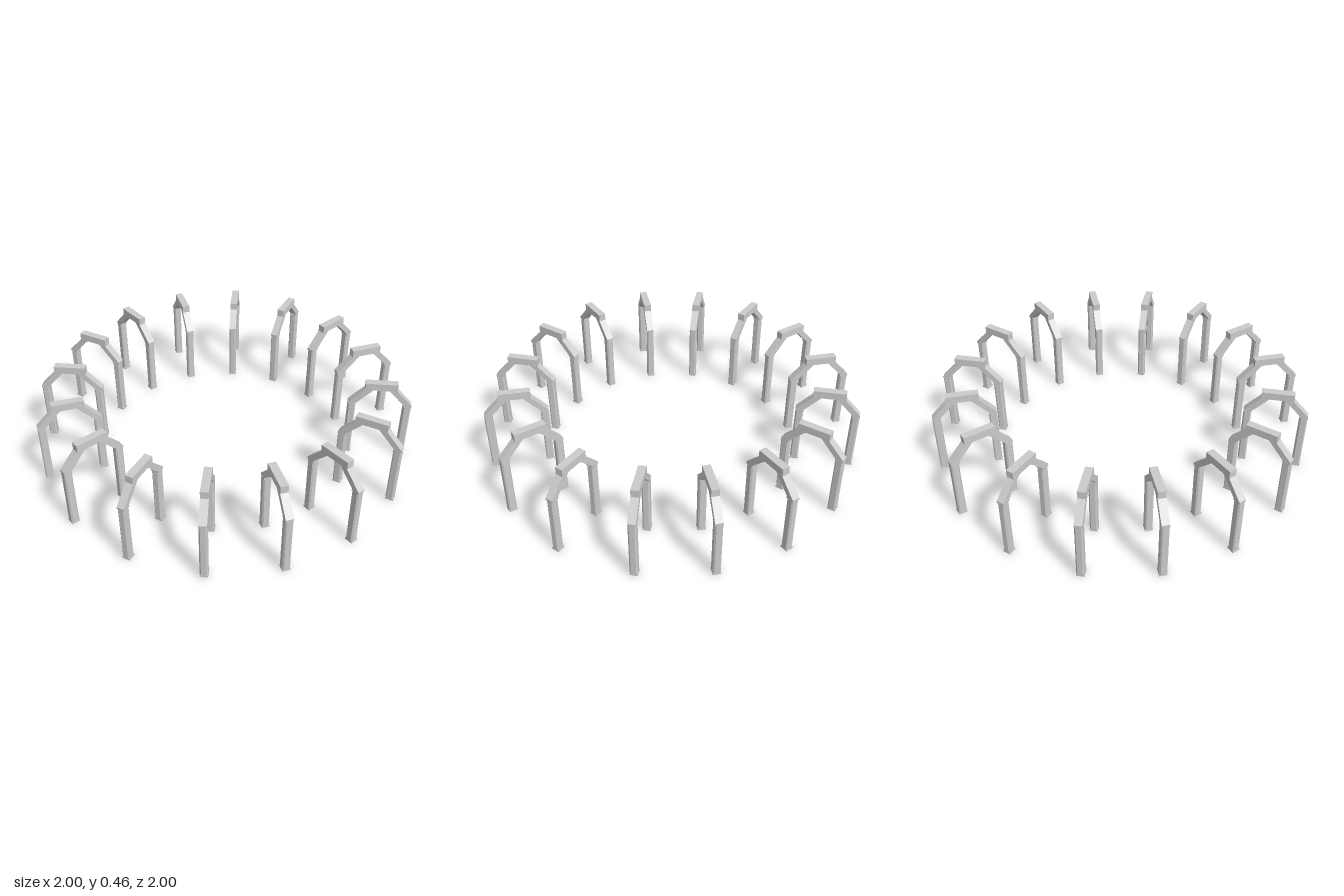
import * as THREE from 'three';

const material = new THREE.MeshStandardMaterial({ color: 0xcccccc, flatShading: true });
const COUNT = 16, STEP = THREE.MathUtils.degToRad(22.41);
const RADIUS = 0.832;              // middle of each arch
const HALF = 0.167;                // half span of an arch
const SIZE = 0.042, DEPTH = 0.04;  // section of the members
const LEG_TOP = 0.335, BEAM_BOTTOM = 0.422, BEAM_TOP = 0.462, BEAM_HALF = 0.084;
const CAP = 0.012, CHAMFER = 0.007;

function extrude(points, depth) {
  const shape = new THREE.Shape(points.map(([x, y]) => new THREE.Vector2(x, y)));
  return new THREE.ExtrudeGeometry(shape, { depth, bevelEnabled: false });
}

function addPart(parent, name, geometry, x = 0, y = 0) {
  const mesh = new THREE.Mesh(geometry, material);
  mesh.name = name;
  mesh.position.set(x, y, 0);
  parent.add(mesh);
}

// Chamfered post with square ends
const a = SIZE / 2, b = DEPTH / 2, c = CHAMFER;
const shaft = extrude([
  [a, -b + c], [a, b - c], [a - c, b], [-a + c, b],
  [-a, b - c], [-a, -b + c], [-a + c, -b], [a - c, -b],
], LEG_TOP - 2 * CAP).rotateX(-Math.PI / 2);
const cap = new THREE.BoxGeometry(SIZE, CAP, DEPTH);

// Flat beam across the top
const beam = new THREE.BoxGeometry(BEAM_HALF * 2, BEAM_TOP - BEAM_BOTTOM, DEPTH);

// Slanted brace from leg to beam, one per side
function braceGeometry(side) {
  const points = [
    [HALF - SIZE, LEG_TOP], [HALF, LEG_TOP],
    [BEAM_HALF, BEAM_BOTTOM], [BEAM_HALF - SIZE, BEAM_BOTTOM],
  ].map(([x, y]) => [x * side, y]);
  return extrude(points, DEPTH).translate(0, 0, -DEPTH / 2);
}
const braces = { 1: braceGeometry(1), [-1]: braceGeometry(-1) };

function createArch() {
  const arch = new THREE.Group();
  arch.name = 'arch';
  for (const side of [-1, 1]) {
    const prefix = side > 0 ? 'outer' : 'inner';
    const x = side * (HALF - SIZE / 2);
    addPart(arch, prefix + 'Leg', shaft, x, CAP);
    addPart(arch, prefix + 'Foot', cap, x, CAP / 2);
    addPart(arch, prefix + 'LegCap', cap, x, LEG_TOP - CAP / 2);
    addPart(arch, prefix + 'Brace', braces[side]);
  }
  addPart(arch, 'topBeam', beam, 0, (BEAM_BOTTOM + BEAM_TOP) / 2);
  return arch;
}

export function createModel() {
  const model = new THREE.Group();
  model.name = 'archRing';
  // Ring of radial arches, stepped slightly short of a full turn
  for (let i = 0; i < COUNT; i++) {
    const arch = createArch();
    const angle = i * STEP;
    arch.position.set(RADIUS * Math.cos(angle) - 0.004, 0, -RADIUS * Math.sin(angle) - 0.003);
    arch.rotation.y = angle;
    model.add(arch);
  }
  return model;
}
